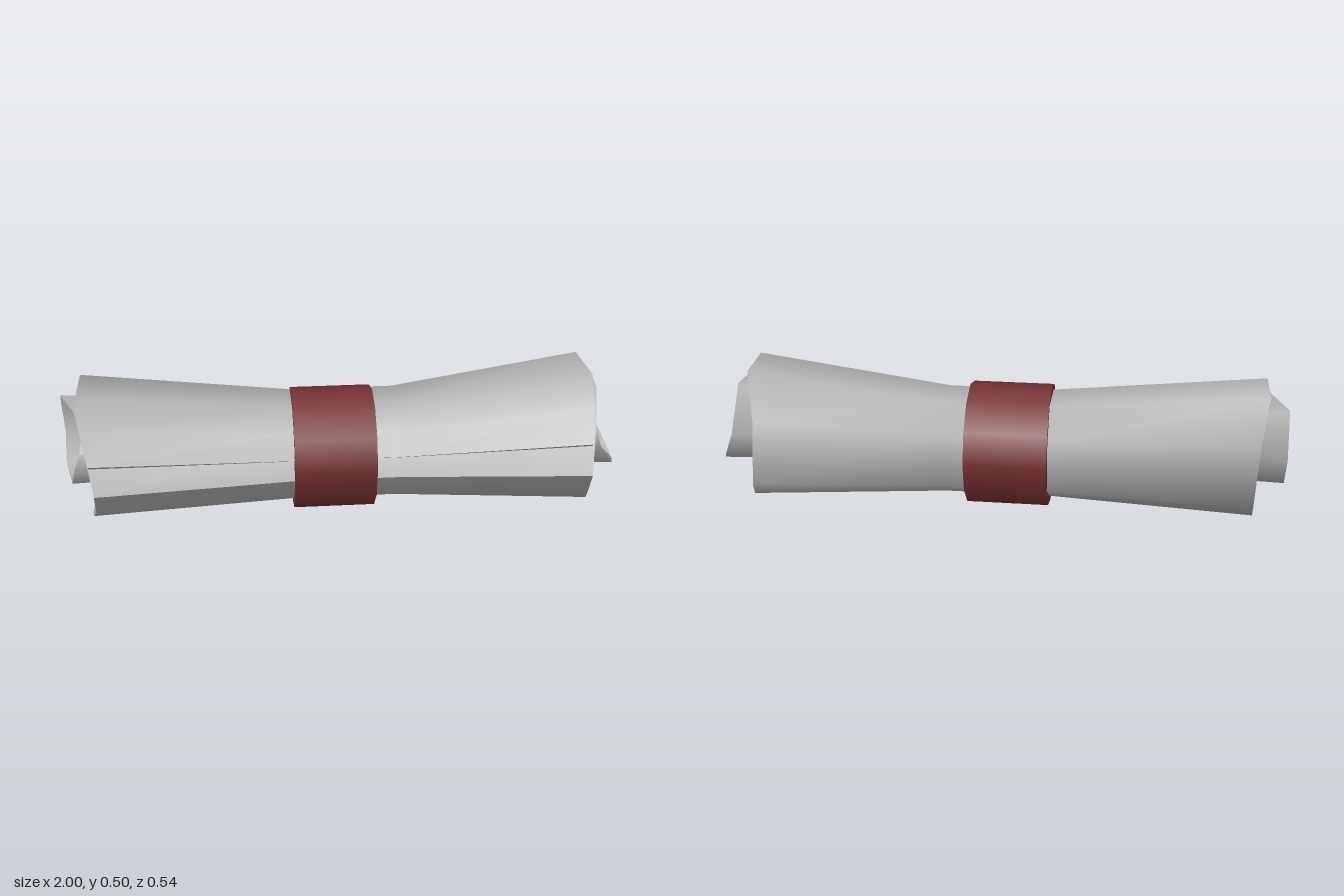
import * as THREE from 'three';
import { toCreasedNormals } from 'three/addons/utils/BufferGeometryUtils.js';

const THICKNESS = 0.016;

// Spiral from the free edge to the core: end z, end y, right end x, waist z, waist y, left end x
const SPIRAL = [
  [0.26, 0.325, 0.85, 0.168, 0.26, -0.88],
  [0.17, 0.425, 0.87, 0.12, 0.345, -0.91],
  [0.04, 0.497, 0.89, 0.03, 0.405, -0.93],
  [-0.165, 0.5, 0.88, -0.13, 0.405, -0.93],
  [-0.273, 0.35, 0.84, -0.21, 0.3, -0.9],
  [-0.262, 0.11, 0.86, -0.205, 0.115, -0.89],
  [-0.123, 0.008, 0.9, -0.09, 0.042, -0.9],
  [0.052, 0.008, 0.9, 0.03, 0.042, -0.9],
  [0.135, 0.065, 0.88, 0.095, 0.08, -0.88],
  [0.255, 0.2, 0.86, 0.165, 0.18, -0.87],
  [0.178, 0.35, 0.88, 0.115, 0.29, -0.9],
  [0.04, 0.443, 0.91, 0.02, 0.375, -0.94],
  [-0.122, 0.438, 0.93, -0.085, 0.372, -1.0],
  [-0.182, 0.265, 0.95, -0.125, 0.24, -1.0],
  [-0.122, 0.148, 1.0, -0.085, 0.162, -1.0],
  [0.01, 0.128, 1.0, -0.005, 0.152, -0.97],
  [0.068, 0.21, 0.94, 0.03, 0.2, -0.95],
  [0.068, 0.28, 0.92, 0.022, 0.25, -0.93],
  [0.0, 0.343, 0.91, -0.02, 0.27, -0.92],
  [-0.06, 0.324, 0.91, -0.045, 0.26, -0.92],
];

// Four cross-sections along x: left mouth, two at the waist, right mouth
function sections() {
  return [
    SPIRAL.map(([z, y, , , , xl]) => new THREE.Vector3(xl, 0.01 + 0.935 * y, z + 0.008)),
    SPIRAL.map(([, , , z, y]) => new THREE.Vector3(-0.18, y, z)),
    SPIRAL.map(([, , , z, y]) => new THREE.Vector3(0.19, y, z)),
    SPIRAL.map(([z, y, x]) => new THREE.Vector3(x, y, z)),
  ];
}

// Shift a section towards the core to give the sheet its thickness
function inset(points) {
  return points.map((p, i) => {
    const a = points[Math.max(i - 1, 0)];
    const b = points[Math.min(i + 1, points.length - 1)];
    const dir = new THREE.Vector3(0, b.z - a.z, -(b.y - a.y)).normalize();
    return p.clone().addScaledVector(dir, THICKNESS);
  });
}

function sheetGeometry() {
  const outer = sections();
  const inner = outer.map(inset);
  const pos = [];
  const quad = (a, b, c, d) => [a, b, c, a, c, d].forEach((p) => pos.push(p.x, p.y, p.z));
  const n = SPIRAL.length - 1;
  const m = outer.length - 1;

  // Outer and inner faces
  for (let s = 0; s < m; s++) {
    for (let i = 0; i < n; i++) {
      quad(outer[s][i], outer[s + 1][i], outer[s + 1][i + 1], outer[s][i + 1]);
      quad(inner[s][i], inner[s][i + 1], inner[s + 1][i + 1], inner[s + 1][i]);
    }
    // Free edge and core edge
    quad(outer[s][0], inner[s][0], inner[s + 1][0], outer[s + 1][0]);
    quad(outer[s][n], outer[s + 1][n], inner[s + 1][n], inner[s][n]);
  }
  // Spiral rims at both mouths
  for (let i = 0; i < n; i++) {
    quad(outer[0][i], outer[0][i + 1], inner[0][i + 1], inner[0][i]);
    quad(outer[m][i], inner[m][i], inner[m][i + 1], outer[m][i + 1]);
  }

  const geometry = new THREE.BufferGeometry();
  geometry.setAttribute('position', new THREE.Float32BufferAttribute(pos, 3));
  return toCreasedNormals(geometry, 1.0);
}

export function createModel() {
  const paper = new THREE.MeshStandardMaterial({ color: 0xb0b0b0 });
  paper.name = 'paper grey';
  const ribbon = new THREE.MeshStandardMaterial({ color: 0x742f30 });
  ribbon.name = 'ribbon dark red';

  const group = new THREE.Group();
  group.name = 'rolledScroll';

  // Rolled sheet, pinched at the waist
  const sheet = new THREE.Mesh(sheetGeometry(), paper);
  sheet.name = 'rolledSheet';
  group.add(sheet);

  // Closed band around the waist
  const bandGeometry = new THREE.CylinderGeometry(0.219, 0.219, 0.29, 12);
  bandGeometry.rotateZ(Math.PI / 2);
  const band = new THREE.Mesh(bandGeometry, ribbon);
  band.name = 'band';
  band.position.set(-0.035, 0.219, -0.032);
  group.add(band);

  return group;
}
